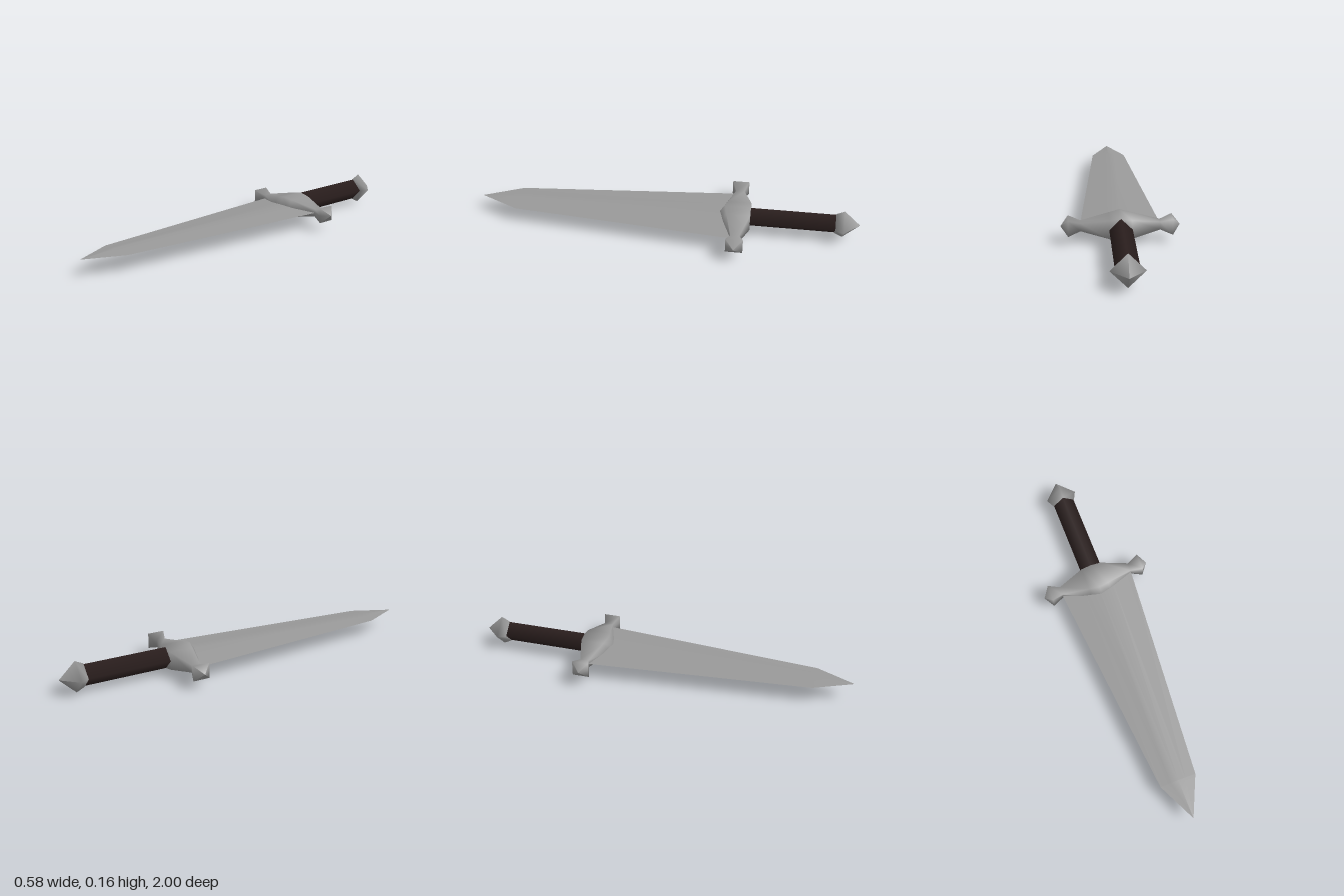
import * as THREE from 'three';

// Skin a list of equal-length cross-sections; each runs anticlockwise seen from the far end.
function loft(rings, closed = true) {
  const n = rings[0].length;
  const index = [];
  for (let i = 0; i < rings.length - 1; i++) {
    for (let j = 0; j < (closed ? n : n - 1); j++) {
      const k = (j + 1) % n;
      const a = i * n + j, b = i * n + k, c = b + n, d = a + n;
      index.push(a, b, c, a, c, d);
    }
  }
  const g = new THREE.BufferGeometry();
  g.setAttribute('position', new THREE.Float32BufferAttribute(rings.flat(2), 3));
  g.setIndex(index);
  g.computeVertexNormals();
  return g;
}

export function createModel() {
  const steel = new THREE.MeshStandardMaterial({ color: 0x999999 });
  steel.name = 'steel';
  const leather = new THREE.MeshStandardMaterial({ color: 0x2b1f1e });
  leather.name = 'darkLeather';

  const dagger = new THREE.Group();
  dagger.name = 'dagger';
  const add = (name, geometry, material, parent = dagger) => {
    const mesh = new THREE.Mesh(geometry, material);
    mesh.name = name;
    parent.add(mesh);
    return mesh;
  };

  // Blade: two mirrored faces meeting at sharp edges, with a shallow hollow beside the ridge
  const blade = new THREE.Group();
  blade.name = 'blade';
  dagger.add(blade);
  const bladeSections = [
    // z, half width, ridge height
    [-0.345, 0.196, 0.021],
    [0.8, 0.094, 0.011],
    [1.0, 0.0005, 0.0003],
  ];
  const face = loft(bladeSections.map(([z, w, t]) => [
    [w, 0, z], [0.42 * w, 0.46 * t, z], [0, t, z], [-0.42 * w, 0.46 * t, z], [-w, 0, z],
  ]), false);
  add('bladeUpperFace', face, steel, blade);
  add('bladeLowerFace', face, steel, blade).rotation.z = Math.PI;

  // Guard: five-sided sections along x, pointed toward the blade, with flared ends
  const halfGuard = [
    // x, half height, back z, front z, point z
    [0.292, 0.0005, -0.3675, -0.3665, -0.3665],
    [0.255, 0.04, -0.412, -0.324, -0.324],
    [0.195, 0.02, -0.39, -0.345, -0.345],
    [0.055, 0.047, -0.435, -0.312, -0.284],
    [0, 0.058, -0.435, -0.3, -0.262],
  ];
  const mirrored = halfGuard.map(([x, ...rest]) => [-x, ...rest]);
  const guardSections = [...mirrored, ...halfGuard.slice(0, -1).reverse()];
  add('guard', loft(guardSections.map(([x, h, back, front, point]) => [
    [x, h, back], [x, h, front], [x, 0, point], [x, -h, front], [x, -h, back],
  ])), steel);

  // Grip: four-sided bar standing on its edge
  const grip = new THREE.CylinderGeometry(0.057, 0.057, 0.46, 4);
  grip.rotateX(Math.PI / 2);
  add('grip', grip, leather).position.z = -0.65;

  // Pommel: faceted point closing the handle
  const diamond = (r, z) => [[r, 0, z], [0, r, z], [-r, 0, z], [0, -r, z]];
  add('pommel', loft([
    diamond(0.0005, -1), diamond(0.082, -0.915), diamond(0.061, -0.872), diamond(0.0005, -0.872),
  ]), steel);

  dagger.position.y = 0.082;
  const root = new THREE.Group();
  root.add(dagger);
  return root;
}
